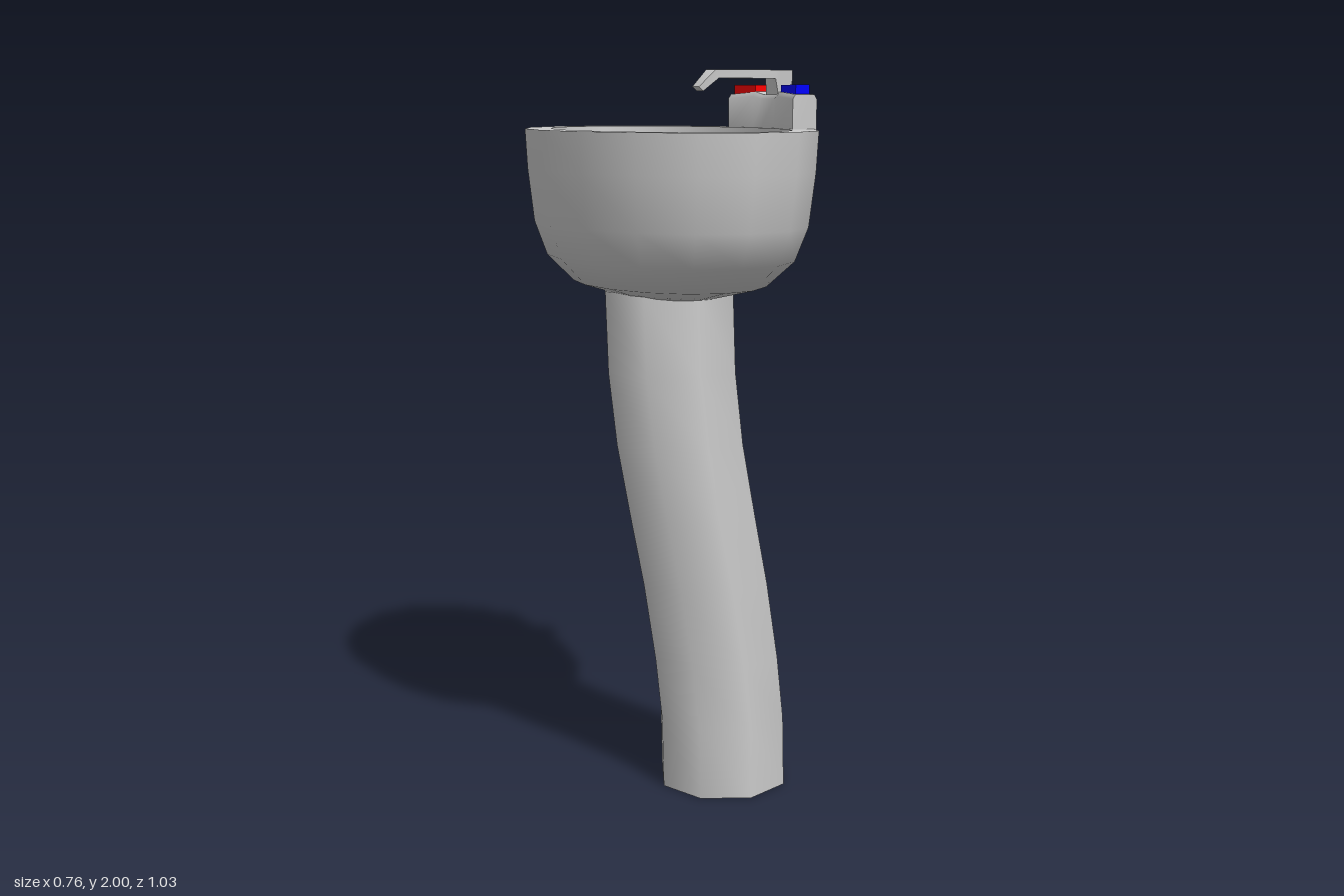
import * as THREE from 'three';
import { toCreasedNormals } from 'three/addons/utils/BufferGeometryUtils.js';

const CX = -0.02; // basin centre
const RIM_Y = 1.845;
const SIDES = 16;

function material(color = 0xcccccc, side = THREE.FrontSide) {
  return new THREE.MeshStandardMaterial({ color, side });
}

function addMesh(group, name, geometry, mat = material()) {
  const mesh = new THREE.Mesh(geometry, mat);
  mesh.name = name;
  group.add(mesh);
  return mesh;
}

// Skin a row of equal-sized loops and cap both ends.
// Loops run counter-clockwise around the direction of travel.
function loft(loops, crease = 0.9) {
  const n = loops[0].length;
  const index = [];
  for (let i = 0; i < loops.length - 1; i++) {
    for (let j = 0; j < n; j++) {
      const a = i * n + j, b = i * n + (j + 1) % n;
      index.push(a, b, a + n, b, b + n, a + n);
    }
  }
  const last = (loops.length - 1) * n;
  for (let j = 1; j < n - 1; j++) {
    index.push(0, j + 1, j, last, last + j, last + j + 1);
  }
  const geometry = new THREE.BufferGeometry();
  geometry.setAttribute('position', new THREE.Float32BufferAttribute(loops.flat(2), 3));
  geometry.setIndex(index);
  return toCreasedNormals(geometry, crease);
}

// Four-cornered sections travelling towards -x:
// [top x, top y, bottom x, bottom y, top half width, bottom half width]
function loftAlongX(sections) {
  return loft(sections.map(([xt, yt, xb, yb, wt, wb]) => [
    [xb, yb, wb], [xt, yt, wt], [xt, yt, -wt], [xb, yb, -wb],
  ]));
}

// Elliptical bowl surface from [relative radius, height] pairs
function bowlSurface(profile, rx, rz) {
  const points = profile.map(([r, y]) => new THREE.Vector2(r, y));
  return new THREE.LatheGeometry(points, SIDES).scale(rx, 1, rz).translate(CX, 0, 0);
}

function ellipsePoints(rx, rz) {
  return Array.from({ length: SIDES }, (_, i) => {
    const a = (i / SIDES) * Math.PI * 2;
    return new THREE.Vector2(CX + rx * Math.cos(a), rz * Math.sin(a));
  });
}

function createBasin() {
  const basin = new THREE.Group();
  basin.name = 'basin';
  addMesh(basin, 'outerBowl', bowlSurface([
    [0, 1.405], [0.35, 1.405], [0.67, 1.44], [0.855, 1.51],
    [0.942, 1.6], [0.985, 1.74], [1, RIM_Y],
  ], 0.36, 0.515));
  addMesh(basin, 'innerBowl', bowlSurface([
    [1, RIM_Y], [0.98, 1.75], [0.93, 1.63], [0.84, 1.55],
    [0.64, 1.485], [0.32, 1.455], [0, 1.45],
  ], 0.29, 0.447));

  // Flat rim between the two bowl surfaces
  const ring = new THREE.Shape(ellipsePoints(0.36, 0.515));
  ring.holes.push(new THREE.Path(ellipsePoints(0.29, 0.447)));
  addMesh(basin, 'rim', new THREE.ShapeGeometry(ring).rotateX(-Math.PI / 2).translate(0, RIM_Y, 0));

  addMesh(basin, 'drain', new THREE.CylinderGeometry(0.065, 0.065, 0.012, 8).translate(CX, 1.452, 0),
    material(0x666666));
  return basin;
}

// Octagonal column leaning in an S-curve
function createPedestal(group) {
  const spine = [
    [0.15, 0], [0.145, 0.2], [0.125, 0.38], [0.09, 0.6],
    [0.05, 0.8], [0.012, 1], [-0.012, 1.2], [-0.02, 1.42],
  ];
  const loops = spine.map(([x, y]) => Array.from({ length: 8 }, (_, j) => {
    const a = (j / 8) * Math.PI * 2;
    return [x + 0.185 * Math.cos(a), y, -0.185 * Math.sin(a)];
  }));
  addMesh(group, 'pedestal', loft(loops));
}

function createFaucet() {
  const faucet = new THREE.Group();
  faucet.name = 'faucet';

  // Base follows the rim: [inner x, inner z, outer x, outer z, top y]
  const half = [
    [0.252, 0.19, 0.316, 0.204, 1.935],
    [0.268, 0.07, 0.328, 0.075, 1.942],
    [0.275, 0.04, 0.331, 0.04, 1.935],
  ];
  const mirrored = half.map(([xi, zi, xo, zo, y]) => [xi, -zi, xo, -zo, y]);
  const stations = [...mirrored, ...half.slice().reverse()];
  addMesh(faucet, 'faucetBase', loft(stations.map(([xi, zi, xo, zo, y]) => [
    [xi, 1.84, zi], [xo, 1.84, zo], [xo, y - 0.012, zo],
    [xo - 0.008, y, zo], [xi + 0.008, y, zi], [xi, y - 0.012, zi],
  ])));

  // Hot and cold buttons, turned to follow the rim
  for (const [name, side, color] of [['hotButton', -1, 0xff0000], ['coldButton', 1, 0x0000ff]]) {
    const button = addMesh(faucet, name, new THREE.BoxGeometry(0.039, 0.03, 0.105), material(color));
    button.position.set(0.291, 1.945, side * 0.13);
    button.rotation.y = -side * 0.115;
  }

  // Flared stem, flat arm and drooping tip
  addMesh(faucet, 'spout', loftAlongX([
    [0.325, 2, 0.325, 1.92, 0.05, 0.05],
    [0.3, 2, 0.293, 1.92, 0.037, 0.037],
    [0.285, 2, 0.285, 1.977, 0.03, 0.03],
    [0.105, 2, 0.115, 1.978, 0.03, 0.03],
    [0.06, 1.955, 0.073, 1.944, 0.021, 0.021],
  ]));

  // Drain lever behind the base
  addMesh(faucet, 'leverStem', loftAlongX([
    [0.35, 1.882, 0.35, 1.865, 0.025, 0.025],
    [0.32, 1.89, 0.32, 1.862, 0.035, 0.035],
  ]));
  addMesh(faucet, 'lever', loftAlongX([
    [0.372, 1.886, 0.377, 1.86, 0.034, 0.053],
    [0.342, 1.884, 0.337, 1.86, 0.036, 0.056],
  ]));
  return faucet;
}

export function createModel() {
  const model = new THREE.Group();
  model.name = 'pedestalSink';
  createPedestal(model);
  model.add(createBasin(), createFaucet());
  return model;
}
